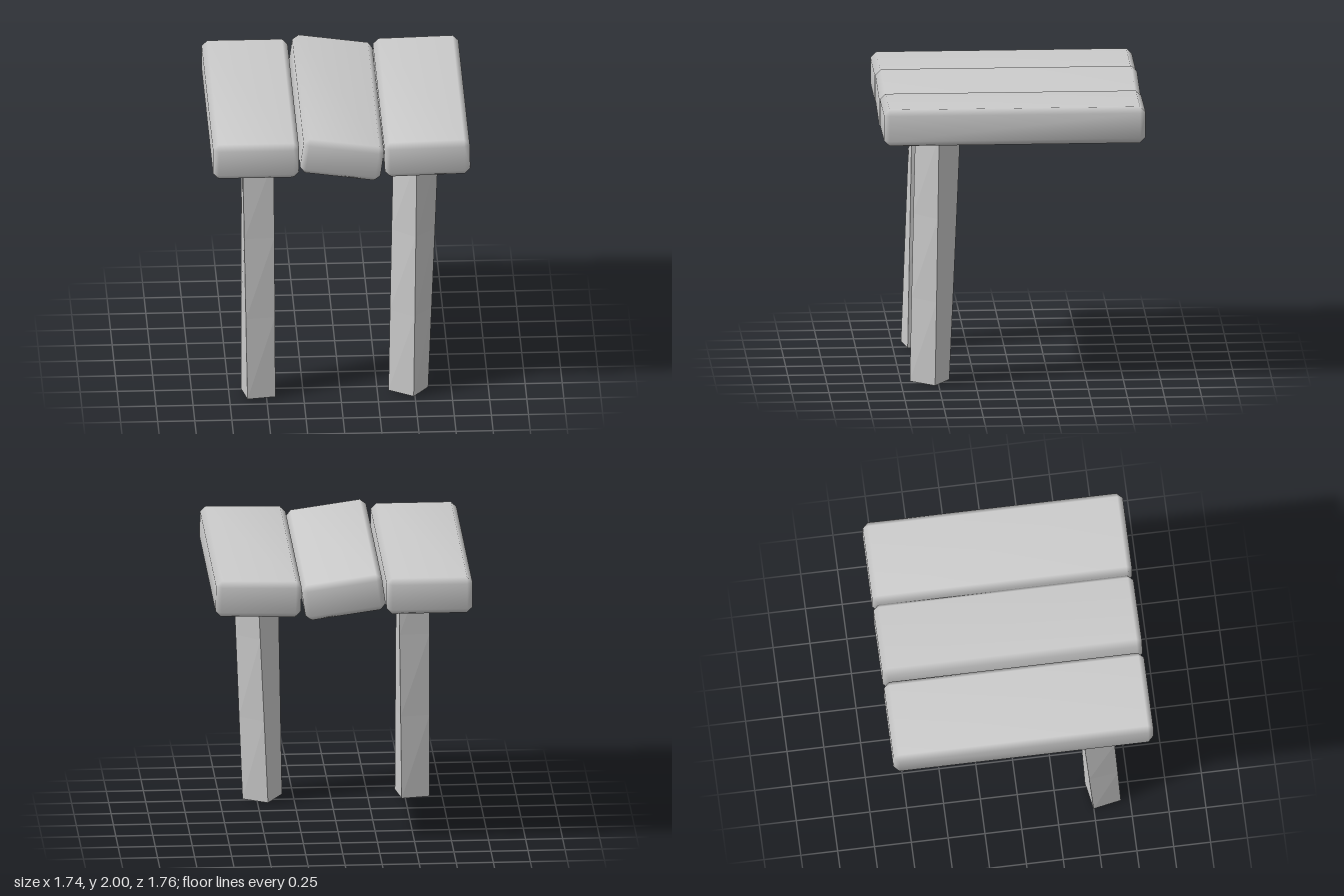
import * as THREE from 'three';
import { ConvexGeometry } from 'three/addons/geometries/ConvexGeometry.js';
import { mergeVertices } from 'three/addons/utils/BufferGeometryUtils.js';

const grey = new THREE.MeshStandardMaterial({ color: 0xcccccc });
const greyFlat = new THREE.MeshStandardMaterial({ color: 0xcccccc, flatShading: true });

// Box with single-cut chamfers on all edges, smooth shaded
function chamferBox(w, h, d, c) {
  const points = [];
  for (const sx of [-1, 1]) for (const sy of [-1, 1]) for (const sz of [-1, 1]) {
    for (let full = 0; full < 3; full++) {
      const inset = [c, c, c];
      inset[full] = 0;
      points.push(new THREE.Vector3(
        sx * (w / 2 - inset[0]), sy * (h / 2 - inset[1]), sz * (d / 2 - inset[2])));
    }
  }
  const hull = new ConvexGeometry(points);
  hull.deleteAttribute('normal');
  const geometry = mergeVertices(hull, 1e-4);
  geometry.computeVertexNormals();
  return geometry;
}

// Square post whose centre, width and yaw change steadily from foot to top
function legGeometry(foot, top) {
  const height = 1.75, mix = THREE.MathUtils.lerp;
  const geometry = new THREE.BoxGeometry(1, height, 1, 1, 3, 1);
  const pos = geometry.attributes.position;
  for (let i = 0; i < pos.count; i++) {
    const t = pos.getY(i) / height + 0.5;
    const size = mix(foot.size, top.size, t);
    const yaw = THREE.MathUtils.degToRad(mix(foot.yaw, top.yaw, t));
    const dx = size * (pos.getX(i) * Math.cos(yaw) + pos.getZ(i) * Math.sin(yaw));
    const dz = size * (pos.getZ(i) * Math.cos(yaw) - pos.getX(i) * Math.sin(yaw));
    // cross-sections stay square to the leaning axis
    const lean = (dz * (foot.z - top.z) + dx * (foot.x - top.x)) / height;
    pos.setXYZ(i, mix(foot.x, top.x, t) + dx, t * height + 0.005 + lean, mix(foot.z, top.z, t) + dz);
  }
  geometry.computeVertexNormals();
  return geometry;
}

export function createModel() {
  const model = new THREE.Group();
  model.name = 'brokenStool';

  // Seat planks, the middle one knocked askew
  const planks = [
    { name: 'rightPlank', x: -0.58, y: 1.845, w: 0.58, tilt: 0 },
    { name: 'middlePlank', x: 0, y: 1.843, w: 0.548, tilt: -8 },
    { name: 'leftPlank', x: 0.575, y: 1.843, w: 0.577, tilt: 1.4 },
  ];
  for (const p of planks) {
    const plank = new THREE.Mesh(chamferBox(p.w, 0.25, 1.765, 0.038), grey);
    plank.name = p.name;
    plank.position.set(p.x, p.y, 0);
    plank.rotation.z = THREE.MathUtils.degToRad(p.tilt);
    model.add(plank);
  }

  // Two twisted front legs
  const legs = [
    { name: 'rightLeg',
      foot: { x: -0.553, z: 0.575, size: 0.193, yaw: 10.5 },
      top: { x: -0.555, z: 0.515, size: 0.21, yaw: 0 } },
    { name: 'leftLeg',
      foot: { x: 0.46, z: 0.555, size: 0.196, yaw: -32.5 },
      top: { x: 0.513, z: 0.502, size: 0.215, yaw: -45 } },
  ];
  for (const l of legs) {
    const leg = new THREE.Mesh(legGeometry(l.foot, l.top), greyFlat);
    leg.name = l.name;
    model.add(leg);
  }
  return model;
}
